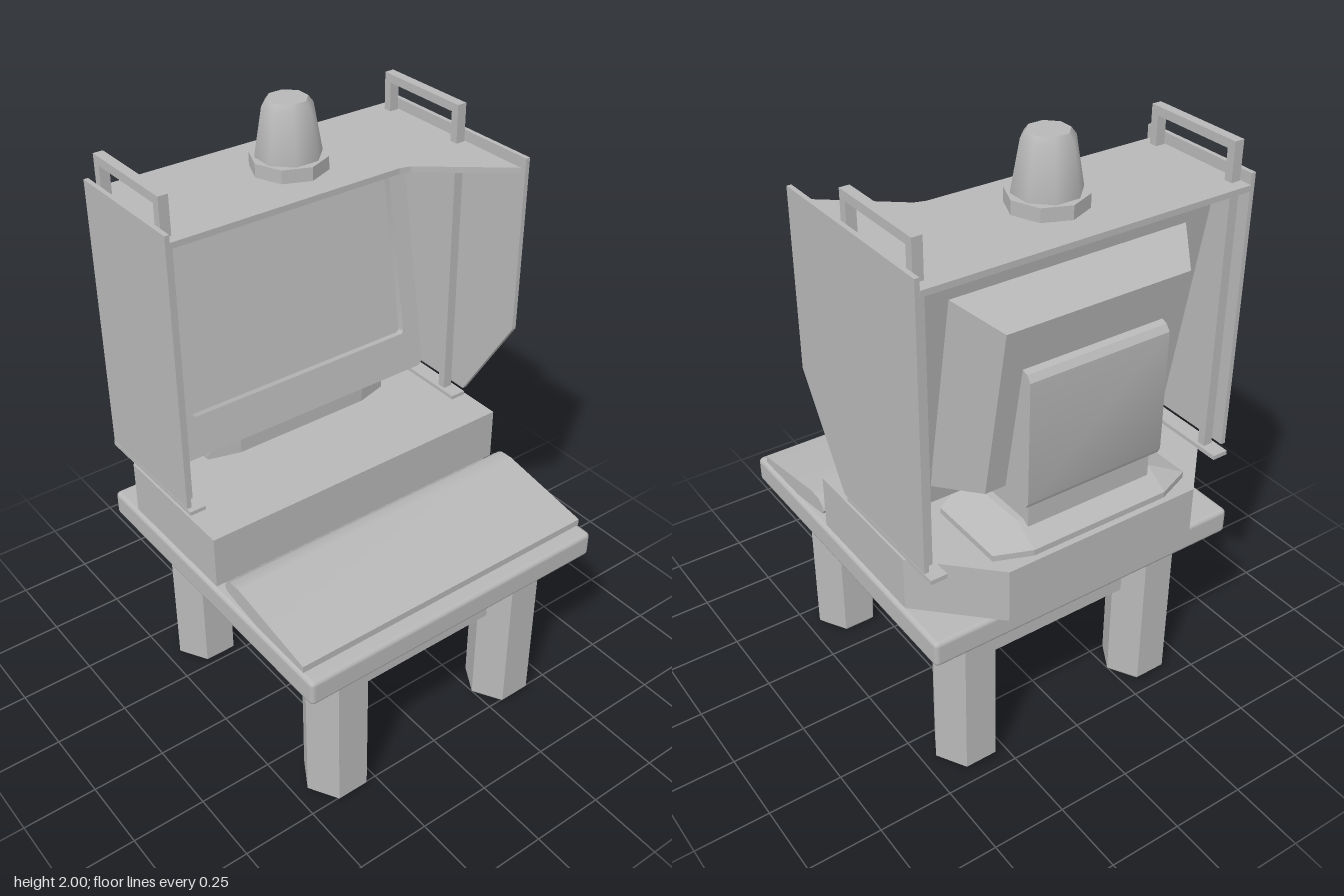
import * as THREE from 'three';
import { toCreasedNormals } from 'three/addons/utils/BufferGeometryUtils.js';
import { RoundedBoxGeometry } from 'three/addons/geometries/RoundedBoxGeometry.js';
import { ConvexGeometry } from 'three/addons/geometries/ConvexGeometry.js';

const grey = new THREE.MeshStandardMaterial({ color: 0xb8b8b8 });
grey.name = 'plain grey';

const V = (x, y, z) => new THREE.Vector3(x, y, z);
const shapeOf = pts => new THREE.Shape(pts.map(p => new THREE.Vector2(...p)));
const extrude = (shape, depth) => new THREE.ExtrudeGeometry(shape, { depth, bevelEnabled: false, curveSegments: 4 });

function add(parent, name, geometry) {
  const mesh = new THREE.Mesh(geometry, grey);
  mesh.name = name;
  parent.add(mesh);
  return mesh;
}

// Box given by its limits on each axis
function box(parent, name, x0, x1, y0, y1, z0, z1) {
  const g = new THREE.BoxGeometry(x1 - x0, y1 - y0, z1 - z0);
  return add(parent, name, g.translate((x0 + x1) / 2, (y0 + y1) / 2, (z0 + z1) / 2));
}

// Profile of [z, y] points spanning x0..x1
function sideProfile(pts, x0, x1) {
  return extrude(shapeOf(pts), x1 - x0).rotateY(-Math.PI / 2).translate(x1, 0, 0);
}

// Outline of [x, z] points spanning y0..y1
function plan(pts, y0, y1) {
  return extrude(shapeOf(pts), y1 - y0).rotateX(Math.PI / 2).translate(0, y1, 0);
}

function roundedRect(path, x0, x1, y0, y1, r) {
  path.moveTo(x0 + r, y0);
  path.lineTo(x1 - r, y0).quadraticCurveTo(x1, y0, x1, y0 + r);
  path.lineTo(x1, y1 - r).quadraticCurveTo(x1, y1, x1 - r, y1);
  path.lineTo(x0 + r, y1).quadraticCurveTo(x0, y1, x0, y1 - r);
  path.lineTo(x0, y0 + r).quadraticCurveTo(x0, y0, x0 + r, y0);
  return path;
}

function buildTable() {
  const table = new THREE.Group();
  table.name = 'table';
  add(table, 'tableTop', new RoundedBoxGeometry(1.11, 0.09, 1.115, 2, 0.016).translate(0, 0.63, 0.0275));
  // Six-sided legs with a small chamfer at the foot
  const profile = [[0, 0], [0.095, 0], [0.11, 0.016], [0.11, 0.59]].map(p => new THREE.Vector2(...p));
  for (const x of [-0.35, 0.35]) for (const z of [0.418, -0.358]) {
    const leg = new THREE.LatheGeometry(profile, 6).rotateY(Math.PI / 2);
    add(table, 'leg', toCreasedNormals(leg, 0.6)).position.set(x, 0, z);
  }
  // Apron boards between the legs
  for (const z of [0.418, -0.358]) box(table, 'apronBoard', -0.27, 0.27, 0.38, 0.59, z - 0.025, z + 0.025);
  for (const x of [-0.35, 0.35]) box(table, 'apronBoard', x - 0.025, x + 0.025, 0.38, 0.59, -0.27, 0.33);
  return table;
}

function buildMonitor() {
  const monitor = new THREE.Group();
  monitor.name = 'monitor';
  // Tilted head: bezel, sunken screen, tapered back
  const head = new THREE.Group();
  head.name = 'monitorHead';
  head.position.set(0, 0.957, -0.185);
  head.rotation.x = THREE.MathUtils.degToRad(-10);
  monitor.add(head);
  const frame = roundedRect(new THREE.Shape(), -0.482, 0.478, 0, 0.815, 0.025);
  frame.holes.push(roundedRect(new THREE.Path(), -0.418, 0.412, 0.137, 0.756, 0.015));
  add(head, 'bezel', toCreasedNormals(extrude(frame, 0.078).translate(0, 0, -0.078), 0.7));
  box(head, 'screen', -0.43, 0.425, 0.125, 0.77, -0.077, -0.025);
  const taper = [];
  for (const s of [-1, 1]) {
    taper.push(V(s * 0.4, 0.74, -0.076), V(s * 0.4, 0.07, -0.076));
    taper.push(V(s * 0.31, 0.693, -0.218), V(s * 0.31, 0.12, -0.218));
  }
  add(head, 'taperedBack', new ConvexGeometry(taper));
  // Upright rear housing and neck
  const rear = [[-0.33, 1.48], [-0.485, 1.465], [-0.515, 1.455], [-0.53, 1.435], [-0.53, 1.04], [-0.52, 1.02], [-0.33, 1.0]];
  add(monitor, 'rearHousing', toCreasedNormals(sideProfile(rear, -0.24, 0.24), 0.6));
  box(monitor, 'neck', -0.22, 0.22, 0.93, 1.03, -0.505, -0.3);
  // Sloped foot
  const foot = [];
  for (const s of [-1, 1]) {
    for (const y of [0.88, 0.9]) foot.push(V(s * 0.353, y, -0.25), V(s * 0.353, y, -0.52), V(s * 0.24, y, -0.565));
    foot.push(V(s * 0.245, 0.95, -0.22), V(s * 0.24, 0.95, -0.48), V(s * 0.245, 0.88, -0.22));
  }
  add(monitor, 'monitorFoot', new ConvexGeometry(foot));
  return monitor;
}

function buildHood() {
  const hood = new THREE.Group();
  hood.name = 'hood';
  // Wide panel with a cut corner on one side, narrow panel on the other
  const wide = [[-0.485, 0.908], [-0.04, 0.908], [0.17, 1.24], [0.17, 1.82], [-0.485, 1.82]];
  add(hood, 'widePanel', sideProfile(wide, 0.541, 0.556));
  box(hood, 'narrowPanel', -0.556, -0.541, 0.908, 1.82, -0.485, -0.043);
  const shelf = [[-0.542, -0.487], [0.542, -0.487], [0.542, 0.152], [0.29, -0.052], [0.255, -0.062], [-0.542, -0.062]];
  add(hood, 'roofShelf', plan(shelf, 1.766, 1.785));
  // Rails that rise through the roof to form handles
  for (const s of [-1, 1]) {
    const rail = new THREE.Group();
    rail.name = 'handleRail';
    rail.position.x = s * 0.521;
    hood.add(rail);
    for (const z of [-0.11, -0.432]) box(rail, 'railPost', -0.016, 0.016, 0.885, 1.908, z - 0.014, z + 0.014);
    box(rail, 'handleBar', -0.016, 0.016, 1.88, 1.908, -0.42, -0.12);
    box(rail, 'railFlange', -0.027, 0.027, 0.878, 0.893, -0.505, -0.04);
  }
  return hood;
}

function buildBeacon() {
  const beacon = new THREE.Group();
  beacon.name = 'beacon';
  beacon.position.set(0, 0, -0.265);
  const collar = new THREE.CylinderGeometry(0.12, 0.12, 0.045, 8).translate(0, 1.805, 0);
  add(beacon, 'beaconCollar', toCreasedNormals(collar, 0.5));
  const profile = [[0.102, 1.82], [0.102, 1.835], [0.077, 1.98], [0.062, 2], [0, 2]].map(p => new THREE.Vector2(...p));
  add(beacon, 'beaconLamp', toCreasedNormals(new THREE.LatheGeometry(profile, 8).rotateY(Math.PI / 8), 0.85));
  return beacon;
}

export function createModel() {
  const model = new THREE.Group();
  model.name = 'computerStation';
  model.add(buildTable());

  // Console block with cut rear corners on a low plinth
  const outline = [[-0.556, 0.1], [-0.556, -0.37], [-0.34, -0.585], [0.34, -0.585], [0.556, -0.37], [0.556, 0.1]];
  add(model, 'consoleBlock', plan(outline, 0.7, 0.88));
  box(model, 'plinth', -0.4, 0.4, 0.67, 0.705, -0.37, 0.04);

  // Sloping keyboard with a rounded rear edge and a rear foot
  const keys = [[0.535, 0.68], [0.535, 0.703], [0.21, 0.76], [0.165, 0.758], [0.145, 0.745],
    [0.135, 0.725], [0.142, 0.712], [0.2, 0.7], [0.31, 0.682]];
  add(model, 'keyboard', toCreasedNormals(sideProfile(keys, -0.548, 0.545), 0.55));
  box(model, 'keyboardFoot', -0.5, 0.5, 0.672, 0.71, 0.17, 0.205);

  model.add(buildMonitor(), buildHood(), buildBeacon());
  return model;
}
